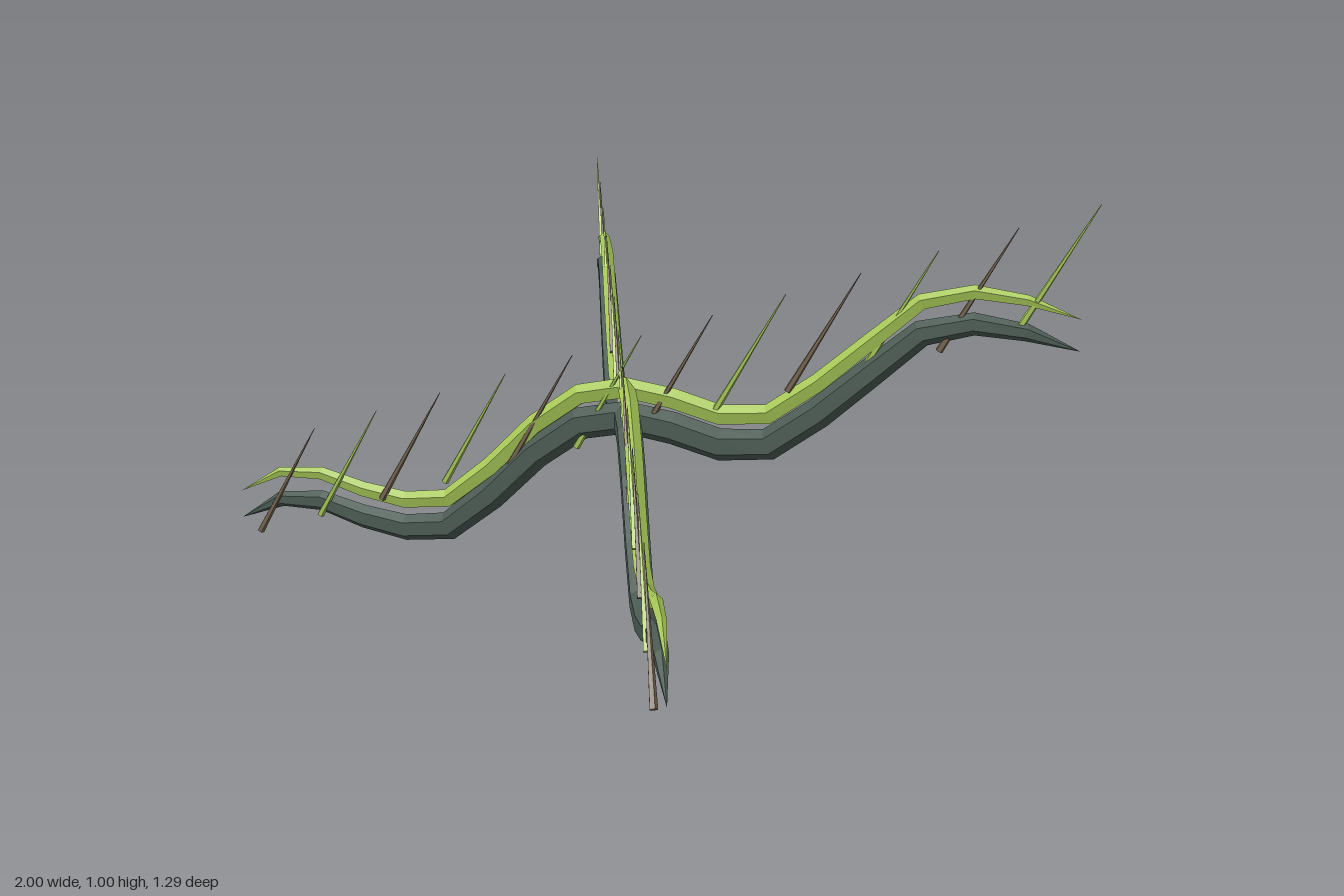
import * as THREE from 'three';

// Height of the thick vine at even steps from its front tip to its back tip
const HEIGHTS = [0.035, 0.1, 0.105, 0.07, 0.05, 0.065, 0.165, 0.29, 0.38, 0.405,
  0.385, 0.35, 0.36, 0.45, 0.56, 0.67, 0.70, 0.685, 0.645];
const STEPS = HEIGHTS.length - 1;
const UP = new THREE.Vector3(0, 1, 0);

// Faceted vine that tapers to a point at both ends
function vineGeometry(side, lift, width, height, sides) {
  const path = HEIGHTS.map((y, i) => {
    const t = i / STEPS;
    return new THREE.Vector3(side * (-0.967 + 1.934 * t), y + lift, 0.645 - 1.28 * t);
  });
  const positions = [];
  const index = [];
  path.forEach((p, i) => {
    const before = path[Math.max(i - 1, 0)];
    const after = path[Math.min(i + 1, STEPS)];
    const dir = after.clone().sub(before).normalize();
    const across = UP.clone().cross(dir).normalize();
    const normal = dir.clone().cross(across);
    const taper = Math.pow(Math.max(Math.sin(Math.PI * i / STEPS), 0), 0.4) * (i % STEPS ? 1 : 0);
    for (let j = 0; j < sides; j++) {
      const a = Math.PI / 2 + (j / sides) * Math.PI * 2;
      const v = p.clone()
        .addScaledVector(across, Math.cos(a) * width * taper)
        .addScaledVector(normal, Math.sin(a) * height * taper);
      positions.push(v.x, v.y, v.z);
    }
  });
  for (let i = 0; i < STEPS; i++) {
    for (let j = 0; j < sides; j++) {
      const a = i * sides + j;
      const b = i * sides + (j + 1) % sides;
      const c = b + sides;
      const d = a + sides;
      if (i < STEPS - 1) index.push(a, c, d);
      if (i > 0) index.push(a, b, c);
      else index.push(b, c, a);
    }
  }
  const geometry = new THREE.BufferGeometry();
  geometry.setAttribute('position', new THREE.Float32BufferAttribute(positions, 3));
  geometry.setIndex(index);
  const flat = geometry.toNonIndexed();
  flat.computeVertexNormals();
  return flat;
}

export function createModel() {
  const material = (name, color) => {
    const m = new THREE.MeshStandardMaterial({ color, flatShading: true });
    m.name = name;
    return m;
  };
  const darkGreen = material('darkGreen', 0x4a5a52);
  const limeGreen = material('limeGreen', 0xa5c656);
  const bark = material('barkBrown', 0x75654f);

  const model = new THREE.Group();
  model.name = 'crossedThornVines';

  // Slender spike, from a five-sided base to a fine tip
  const spike = new THREE.Vector3(0.157, 0.312, -0.097);
  const thornGeometry = new THREE.CylinderGeometry(0.001, 0.01, spike.length(), 5);
  thornGeometry.translate(0, spike.length() / 2, 0);

  for (const side of [1, -1]) {
    const arm = new THREE.Group();
    arm.name = side > 0 ? 'vineRisingToLeft' : 'vineRisingToRight';

    const stem = new THREE.Mesh(vineGeometry(side, 0, 0.037, 0.044, 6), darkGreen);
    stem.name = 'thickVine';
    const shoot = new THREE.Mesh(vineGeometry(side, 0.078, 0.024, 0.029, 5), limeGreen);
    shoot.name = 'thinVine';
    arm.add(stem, shoot);

    // Evenly spaced thorns on a straight rising line, alternating in colour
    const direction = new THREE.Vector3(side * spike.x, spike.y, spike.z).normalize();
    for (let i = 0; i < 12; i++) {
      const thorn = new THREE.Mesh(thornGeometry, i % 2 ? limeGreen : bark);
      thorn.name = i % 2 ? 'greenThorn' : 'barkThorn';
      thorn.position.set(side * (-0.897 + 0.158 * i), 0.006 + 0.0622 * i, 0.625 - 0.107 * i);
      thorn.quaternion.setFromUnitVectors(UP, direction);
      arm.add(thorn);
    }
    model.add(arm);
  }
  return model;
}
